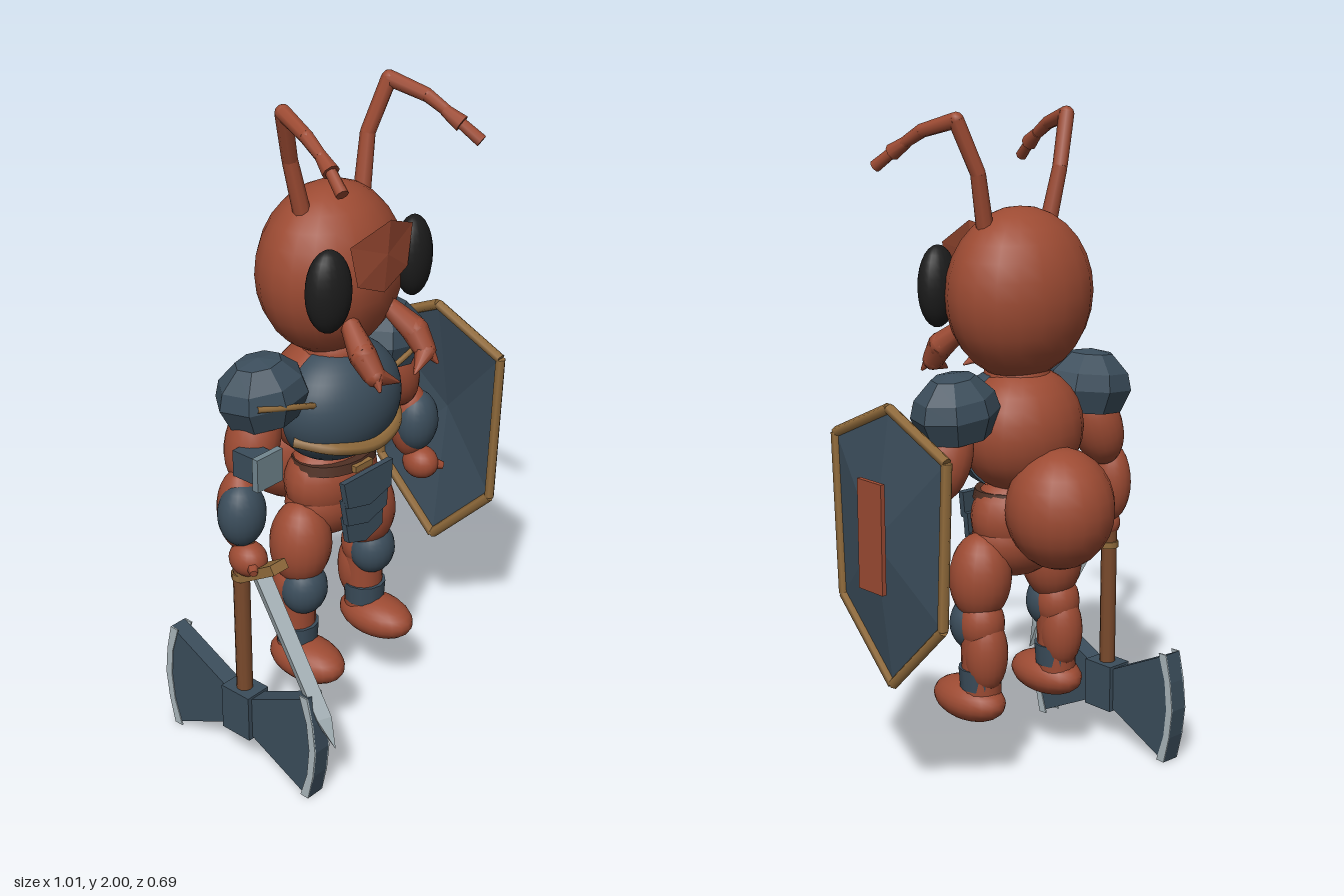
import * as THREE from 'three';

const mat = (name, color, side = THREE.FrontSide, flatShading = false) => {
  const m = new THREE.MeshStandardMaterial({ color, side, flatShading });
  m.name = name;
  return m;
};
const M = {
  shell: mat('antRed', 0x9d4b33, THREE.DoubleSide),
  armor: mat('blueSteel', 0x3b4d5b, THREE.DoubleSide, true),
  smoothArmor: mat('blueSteelSmooth', 0x3b4d5b, THREE.DoubleSide),
  eye: mat('eyeBlack', 0x1c1c1c),
  brass: mat('brass', 0x926c3c),
  wood: mat('wood', 0x7a4a2c),
  leather: mat('darkLeather', 0x4f3024),
  silver: mat('silver', 0xaab7bc),
  slate: mat('slate', 0x72868f),
};
const V = (x, y, z) => new THREE.Vector3(x, y, z);

function add(parent, name, geo, material, pos = [0, 0, 0], rot = [0, 0, 0], scale = [1, 1, 1]) {
  const m = new THREE.Mesh(geo, material);
  m.name = name;
  m.position.set(...pos);
  m.rotation.set(...rot);
  m.scale.set(...scale);
  parent.add(m);
  return m;
}
const ball = (p, name, material, pos, radii, rot) =>
  add(p, name, new THREE.SphereGeometry(1, 20, 14), material, pos, rot, radii);
const box = (p, name, material, pos, size) =>
  add(p, name, new THREE.BoxGeometry(...size), material, pos);

// Tapered round bar between two points
function bar(p, name, material, a, b, ra, rb, sides = 10) {
  const A = V(...a), B = V(...b), d = B.clone().sub(A);
  const m = add(p, name, new THREE.CylinderGeometry(rb, ra, d.length(), sides), material);
  m.position.copy(A).addScaledVector(d, 0.5);
  m.quaternion.setFromUnitVectors(V(0, 1, 0), d.normalize());
  return m;
}
// Chain of tapered bars with ball joints; each point is [x, y, z, radius]
function chain(p, name, material, pts) {
  pts.forEach((q, i) => {
    if (i) bar(p, name, material, pts[i - 1].slice(0, 3), q.slice(0, 3), pts[i - 1][3], q[3], 8);
    add(p, name + 'Joint', new THREE.SphereGeometry(q[3], 8, 6), material, q.slice(0, 3));
  });
}
function plate(points, depth) {
  const g = new THREE.ExtrudeGeometry(new THREE.Shape(points.map(q => new THREE.Vector2(...q))),
    { depth, bevelEnabled: false });
  return g.translate(0, 0, -depth / 2);
}
// Fan of triangles from a peak to a closed rim
function fan(peak, rim) {
  const v = [];
  rim.forEach((a, i) => v.push(...peak, ...a, ...rim[(i + 1) % rim.length]));
  const g = new THREE.BufferGeometry();
  g.setAttribute('position', new THREE.Float32BufferAttribute(v, 3));
  g.computeVertexNormals();
  return g;
}

function buildHead(body) {
  const head = new THREE.Group();
  head.name = 'head';
  body.add(head);
  ball(head, 'skull', M.shell, [0, 1.48, -0.01], [0.235, 0.25, 0.19]);
  const rim = [[0, 1.67, 0.21], [-0.13, 1.62, 0.18], [-0.105, 1.5, 0.185],
    [0, 1.455, 0.19], [0.105, 1.5, 0.185], [0.13, 1.62, 0.18]];
  add(head, 'facePlate', fan([0, 1.57, 0.202], rim), M.shell);
  for (const s of [1, -1]) {
    ball(head, 'eye', M.eye, [s * 0.178, 1.5, 0.145], [0.07, 0.12, 0.052], [0, s * 0.25, 0]);
    chain(head, 'mandible', M.shell, [[s * 0.085, 1.37, 0.14, 0.028], [s * 0.112, 1.31, 0.21, 0.04],
      [s * 0.11, 1.26, 0.25, 0.032], [s * 0.035, 1.222, 0.275, 0.004]]);
    bar(head, 'mandibleTooth', M.shell, [s * 0.11, 1.27, 0.25], [s * 0.125, 1.225, 0.285], 0.026, 0.004, 8);
    chain(head, 'antenna', M.shell, [[s * 0.125, 1.68, 0, 0.025], [s * 0.158, 1.83, -0.01, 0.022],
      [s * 0.212, 1.978, 0.02, 0.023], [s * 0.243, 1.945, 0.13, 0.02], [s * 0.255, 1.91, 0.19, 0.017]]);
    bar(head, 'antennaBead', M.shell, [s * 0.252, 1.912, 0.185], [s * 0.266, 1.88, 0.235], 0.017, 0.025, 8);
    bar(head, 'antennaTip', M.shell, [s * 0.266, 1.88, 0.235], [s * 0.285, 1.838, 0.29], 0.016, 0.018, 8);
  }
}

function buildTorso(body) {
  ball(body, 'neck', M.shell, [0, 1.23, 0], [0.1, 0.09, 0.1]);
  ball(body, 'thorax', M.shell, [0, 1.08, -0.02], [0.2, 0.19, 0.165]);
  ball(body, 'waist', M.shell, [0, 0.82, -0.01], [0.165, 0.14, 0.115]);
  ball(body, 'pelvis', M.shell, [0, 0.75, -0.01], [0.165, 0.12, 0.11]);
  ball(body, 'abdomen', M.shell, [0, 0.87, -0.185], [0.163, 0.18, 0.16]);
  // Breastplate wraps the front half of the thorax
  add(body, 'breastplate', new THREE.SphereGeometry(1, 32, 16, -0.1, Math.PI + 0.2, 0.35, 2.35),
    M.smoothArmor, [0, 1.08, 0.015], [0, 0, 0], [0.215, 0.185, 0.165]);
  const trim = new THREE.CatmullRomCurve3([V(-0.2, 1.016, 0.03), V(-0.13, 0.998, 0.13), V(0, 0.978, 0.163),
    V(0.13, 0.998, 0.13), V(0.2, 1.016, 0.03)]);
  add(body, 'breastplateTrim', new THREE.TubeGeometry(trim, 20, 0.021, 6), M.brass);
  // Belt, buckle and layered tabard
  add(body, 'belt', new THREE.CylinderGeometry(0.138, 0.145, 0.03, 20), M.leather, [0, 0.89, 0], [0, 0, 0], [1, 1, 0.78]);
  box(body, 'buckle', M.brass, [0, 0.888, 0.112], [0.075, 0.02, 0.02]);
  [[0.69, 0.085], [0.755, 0.098], [0.82, 0.108]].forEach(([y, w], i) => {
    const shape = [[-w, 0.055], [w, 0.055], [w * 0.88, -0.028], [0, -0.052], [-w * 0.88, -0.028]];
    add(body, 'tabardPlate', plate(shape, 0.02), M.armor, [0, y, 0.117 + i * 0.008], [-0.06, 0, 0]);
  });
}

function buildLimbs(body, s) {
  // Shoulder guard
  const profile = [[0.105, -0.085], [0.132, -0.015], [0.118, 0.035], [0.065, 0.088], [0, 0.1]]
    .map(q => new THREE.Vector2(...q));
  add(body, 'shoulderGuard', new THREE.LatheGeometry(profile, 8), M.armor,
    [s * 0.265, 1.185, -0.03], [0, 0.2 * s, -0.1 * s], [1.08, 1, 0.9]);
  const strap = new THREE.CatmullRomCurve3([V(s * 0.15, 1.13, 0.085), V(s * 0.26, 1.165, 0.086), V(s * 0.36, 1.18, 0.045)]);
  add(body, 'shoulderTrim', new THREE.TubeGeometry(strap, 10, 0.009, 6), M.brass);
  // Arm
  ball(body, 'upperArm', M.shell, [s * 0.305, 1.04, -0.03], [0.078, 0.13, 0.08], [0, 0, s * 0.35]);
  ball(body, 'forearm', M.shell, [s * 0.375, 0.85, -0.02], [0.062, 0.125, 0.068]);
  ball(body, 'forearmGuard', M.smoothArmor, [s * 0.385, 0.85, 0.0], [0.074, 0.1, 0.066]);
  ball(body, 'hand', M.shell, [s * 0.385, 0.71, 0.02], [0.052, 0.053, 0.06]);
  bar(body, 'thumb', M.shell, [s * 0.4, 0.71, 0.05], [s * 0.425, 0.7, 0.08], 0.022, 0.012, 6);
  // Leg
  ball(body, 'thigh', M.shell, [s * 0.145, 0.65, 0], [0.094, 0.135, 0.094], [0, 0, s * 0.06]);
  ball(body, 'knee', M.shell, [s * 0.155, 0.51, -0.015], [0.07, 0.085, 0.07]);
  ball(body, 'kneeGuard', M.smoothArmor, [s * 0.155, 0.505, 0.02], [0.074, 0.085, 0.07]);
  ball(body, 'calf', M.shell, [s * 0.155, 0.42, -0.035], [0.066, 0.12, 0.066]);
  bar(body, 'shin', M.shell, [s * 0.155, 0.27, -0.015], [s * 0.155, 0.5, -0.015], 0.058, 0.064, 16);
  bar(body, 'shinGuard', M.smoothArmor, [s * 0.155, 0.31, -0.01], [s * 0.155, 0.375, -0.01], 0.062, 0.067, 12);
  ball(body, 'foot', M.shell, [s * 0.16, 0.262, 0.035], [0.083, 0.065, 0.135]);
}

function buildShield(root) {
  const shield = new THREE.Group();
  shield.name = 'shield';
  shield.position.set(0.43, 0, 0);
  root.add(shield);
  const rim = [[0, 1.21, 0], [0, 1.1, -0.243], [0, 0.62, -0.222], [0, 0.4, 0], [0, 0.62, 0.222], [0, 1.1, 0.243]];
  add(shield, 'shieldFace', fan([0.06, 0.84, 0], rim.slice().reverse()), M.armor);
  rim.forEach((a, i) => bar(shield, 'shieldRim', M.brass, a, rim[(i + 1) % 6], 0.016, 0.016, 6));
  box(shield, 'shieldEmblem', M.shell, [0.068, 0.855, 0], [0.014, 0.32, 0.105]);
}

function buildAxe(root) {
  const axe = new THREE.Group();
  axe.name = 'axe';
  axe.position.set(-0.435, 0.178, -0.01);
  root.add(axe);
  bar(axe, 'axeHandle', M.wood, [0, -0.076, 0], [0, 0.58, 0], 0.025, 0.025);
  box(axe, 'axeSocket', M.armor, [0, 0, 0], [0.085, 0.15, 0.11]);
  bar(axe, 'handleBand', M.brass, [0, 0.455, 0], [0, 0.475, 0], 0.03, 0.03);
  // Twin blades with bright strips along both sides of the edge
  const inner = [[0.25, -0.176], [0.277, -0.09], [0.286, 0], [0.277, 0.09], [0.25, 0.176]];
  const outer = [[0.28, -0.177], [0.3, -0.09], [0.31, 0], [0.3, 0.09], [0.28, 0.177]];
  for (const s of [1, -1]) {
    const rot = [0, -s * Math.PI / 2, 0];
    add(axe, 'axeBlade', plate([[0.03, -0.055], ...outer, [0.03, 0.055]], 0.056), M.armor, [0, 0, 0], rot);
    for (const side of [1, -1]) {
      const strip = plate([...inner, ...outer.slice().reverse()], 0.005);
      add(axe, 'axeEdge', strip, M.silver, [side * 0.0285, 0, 0], rot);
    }
  }
}

function buildSword(root) {
  const sword = new THREE.Group();
  sword.name = 'sword';
  sword.position.set(-0.43, 0.68, 0.06);
  sword.rotation.x = -0.54;
  root.add(sword);
  // Diamond-section blade narrowing to a point
  const diamond = (top, bottom, h) => new THREE.CylinderGeometry(top, bottom, h, 4).toNonIndexed();
  for (const [name, geo, y] of [['swordBlade', diamond(1, 0.95, 0.46), -0.23], ['swordTip', diamond(0.95, 0, 0.1), -0.51]]) {
    geo.computeVertexNormals();
    add(sword, name, geo, M.silver, [0, y, 0], [0, 0, 0], [0.022, 1, 0.044]);
  }
  box(sword, 'swordGuard', M.brass, [0, 0, 0.01], [0.06, 0.03, 0.16]);
  bar(sword, 'swordGrip', M.wood, [0, 0, 0], [0, 0.13, 0], 0.02, 0.02);
}

export function createModel() {
  const root = new THREE.Group();
  root.name = 'antKnight';
  const body = new THREE.Group();
  body.name = 'body';
  body.position.x = -0.05;
  root.add(body);
  buildHead(body);
  buildTorso(body);
  for (const s of [1, -1]) buildLimbs(body, s);
  buildShield(root);
  buildAxe(root);
  buildSword(root);
  // Square plate and its mount above the right forearm
  box(root, 'armPlate', M.slate, [-0.425, 1.02, 0.095], [0.1, 0.1, 0.02]);
  box(root, 'armPlateMount', M.armor, [-0.42, 1.015, 0.04], [0.07, 0.08, 0.1]);
  return root;
}
